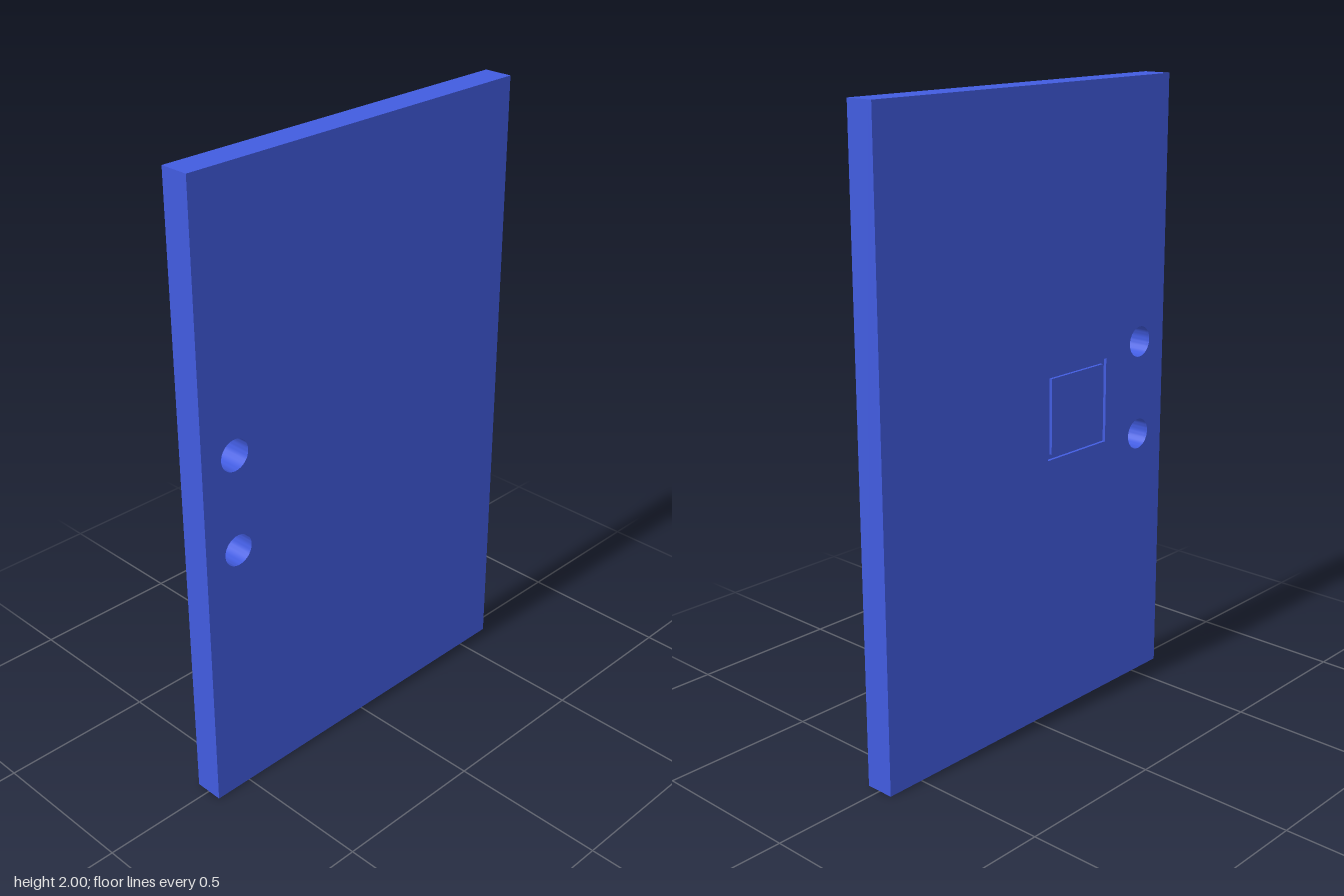
import * as THREE from 'three';
import { toCreasedNormals } from 'three/addons/utils/BufferGeometryUtils.js';

const WIDTH = 1.25, HEIGHT = 2, THICK = 0.094;
const GROOVE = 0.01; // depth of the engraved border
const PANEL = { z: 0.2, y: 1.0, size: 0.274, line: 0.016 };

// Rectangle outline: shape x runs along the model's z
function rect(Type, z, y, w, h) {
  return new Type([
    new THREE.Vector2(z - w / 2, y - h / 2),
    new THREE.Vector2(z + w / 2, y - h / 2),
    new THREE.Vector2(z + w / 2, y + h / 2),
    new THREE.Vector2(z - w / 2, y + h / 2),
  ]);
}

// Slab outline with the two round through-holes
function slabShape() {
  const shape = rect(THREE.Shape, 0, HEIGHT / 2, WIDTH, HEIGHT);
  for (const y of [0.85, 1.16]) {
    shape.holes.push(new THREE.Path().absarc(0.505, y, 0.05, 0, Math.PI * 2, true));
  }
  return shape;
}

// Extrude from startX towards -x
function layer(name, shape, startX, depth, material) {
  let geometry = new THREE.ExtrudeGeometry(shape, { depth, bevelEnabled: false, curveSegments: 24 });
  geometry.rotateY(-Math.PI / 2).translate(startX, 0, 0);
  geometry = toCreasedNormals(geometry, Math.PI / 6);
  const mesh = new THREE.Mesh(geometry, material);
  mesh.name = name;
  return mesh;
}

export function createModel() {
  const group = new THREE.Group();
  group.name = 'doorPanel';
  const blue = new THREE.MeshStandardMaterial({ color: 0x425ce0 });
  const { z, y, size, line } = PANEL;
  const faceX = -THICK / 2 + GROOVE;

  // Main slab
  group.add(layer('slab', slabShape(), THICK / 2, THICK - GROOVE, blue));

  // Thin facing, opened where the square border is engraved
  const facing = slabShape();
  facing.holes.push(rect(THREE.Path, z, y, size, size));
  group.add(layer('facing', facing, faceX, GROOVE, blue));

  // Plain square left standing inside the border
  const inner = size - 2 * line;
  group.add(layer('squareInset', rect(THREE.Shape, z, y, inner, inner), faceX, GROOVE, blue));

  return group;
}
